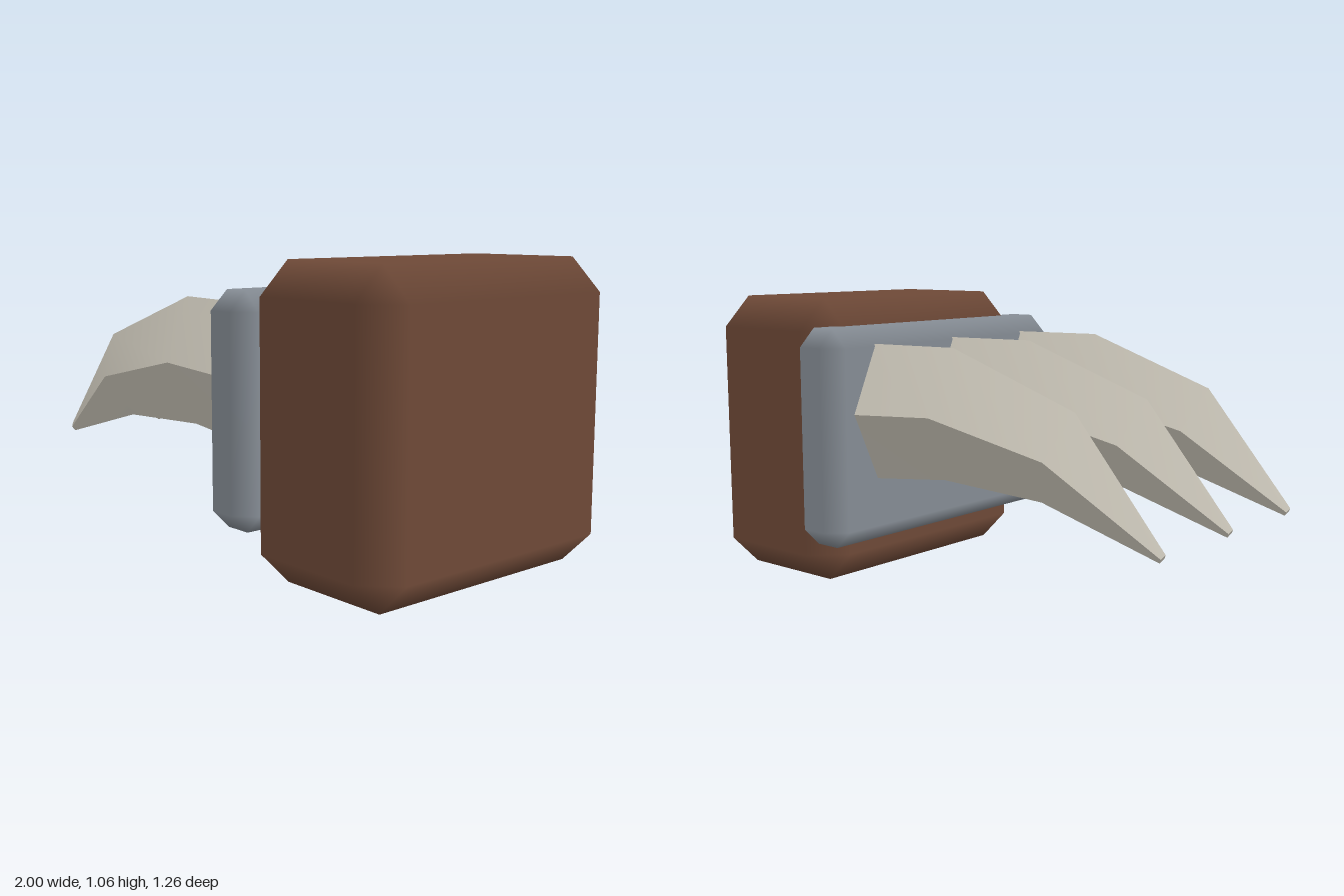
import * as THREE from 'three';

const material = (name, color) => Object.assign(new THREE.MeshStandardMaterial({ color }), { name });

function toGeometry(positions, indices, normals) {
  const g = new THREE.BufferGeometry();
  g.setAttribute('position', new THREE.Float32BufferAttribute(positions, 3));
  g.setIndex(indices);
  if (normals) g.setAttribute('normal', new THREE.Float32BufferAttribute(normals, 3));
  else g.computeVertexNormals();
  return g;
}

// Box with 45 degree chamfers, flat faces and softly shaded bevels
function chamferBox(width, height, depth, bevel) {
  const half = [width / 2, height / 2, depth / 2];
  const pos = [], nor = [], idx = [], ids = {};
  const signs = [-1, 1];
  const vertex = (axis, s) => {
    const key = axis + ':' + s.join();
    if (!(key in ids)) {
      ids[key] = pos.length / 3;
      pos.push(...s.map((v, i) => v * (half[i] - (i === axis ? 0 : bevel))));
      nor.push(...s.map((v, i) => (i === axis ? v : 0)));
    }
    return ids[key];
  };
  const at = (i) => new THREE.Vector3().fromArray(pos, i * 3);
  // Adds a convex polygon, wound so that it faces away from the centre
  const face = (...v) => {
    const [a, b, c] = v.slice(0, 3).map(at);
    const n = b.clone().sub(a).cross(c.clone().sub(a));
    if (n.dot(a) < 0) v.reverse();
    for (let i = 1; i < v.length - 1; i++) idx.push(v[0], v[i], v[i + 1]);
  };
  const corner = (axis, s, u, w) => {
    const r = [0, 0, 0];
    r[axis] = s; r[(axis + 1) % 3] = u; r[(axis + 2) % 3] = w;
    return r;
  };
  for (let a = 0; a < 3; a++) {
    const b = (a + 1) % 3;
    for (const s of signs) {
      // Main faces
      face(...[[-1, -1], [1, -1], [1, 1], [-1, 1]].map(([u, w]) => vertex(a, corner(a, s, u, w))));
      // Edge bevels between this axis and the next
      for (const u of signs) {
        const p = corner(a, s, u, -1), q = corner(a, s, u, 1);
        face(vertex(a, p), vertex(a, q), vertex(b, q), vertex(b, p));
      }
    }
  }
  // Corner triangles
  for (const x of signs) for (const y of signs) for (const z of signs)
    face(...[0, 1, 2].map((a) => vertex(a, [x, y, z])));
  return toGeometry(pos, idx, nor);
}

// Curved claw: diamond sections, smooth along its length and sharp on its ridges
function clawGeometry() {
  // [top x, top y, middle x, middle y, bottom x, bottom y, half width]
  const sections = [
    [0.30, 0.903, 0.30, 0.655, 0.30, 0.407, 0.112],
    [-0.15, 0.91, -0.13, 0.68, -0.11, 0.45, 0.107],
    [-0.66, 0.735, -0.595, 0.58, -0.53, 0.43, 0.083],
    [-1.0, 0.335, -0.99, 0.32, -0.98, 0.305, 0.01],
  ];
  const rings = sections.map(([tx, ty, mx, my, bx, by, w]) => [
    [tx, ty, 0], [mx, my, w], [bx, by, 0], [mx, my, -w],
  ]);
  const pos = [], idx = [];
  for (let k = 0; k < 4; k++) {
    const base = pos.length / 3;
    rings.forEach((r, i) => {
      pos.push(...r[k], ...r[(k + 1) % 4]);
      if (i === 0) return;
      const a = base + 2 * (i - 1);
      idx.push(a, a + 2, a + 1, a + 1, a + 2, a + 3);
    });
  }
  // Tip and root caps
  const cap = (ring) => {
    const c = pos.length / 3;
    pos.push(...ring.flat());
    idx.push(c, c + 1, c + 2, c, c + 2, c + 3);
  };
  cap([...rings[3]].reverse());
  cap(rings[0]);
  // Wind every triangle outward from the local centre line
  const v = (i) => new THREE.Vector3().fromArray(pos, i * 3);
  const centres = sections.map((s) => new THREE.Vector3(s[2], s[3], 0));
  for (let t = 0; t < 48 && t < idx.length - 12; t += 3) {
    if (t >= 72) break;
  }
  for (let t = 0; t < idx.length; t += 3) {
    const [a, b, c] = [v(idx[t]), v(idx[t + 1]), v(idx[t + 2])];
    const mid = a.clone().add(b).add(c).divideScalar(3);
    const n = b.clone().sub(a).cross(c.clone().sub(a));
    const isCap = t >= idx.length - 12;
    let inner;
    if (isCap) inner = centres[t >= idx.length - 6 ? 1 : 2];
    else {
      const seg = Math.floor((t % 18) / 6);
      inner = centres[seg].clone().add(centres[seg + 1]).multiplyScalar(0.5);
    }
    if (n.dot(mid.sub(inner)) < 0) [idx[t + 1], idx[t + 2]] = [idx[t + 2], idx[t + 1]];
  }
  return toGeometry(pos, idx);
}

export function createModel() {
  const group = new THREE.Group();
  group.name = 'clawWeapon';
  const brown = material('brown leather', 0x6e4937);
  const steel = material('grey steel', 0x868d95);
  const bone = material('pale bone', 0xd0cbbe);

  const add = (name, geometry, mat, x, y, z) => {
    const mesh = new THREE.Mesh(geometry, mat);
    mesh.name = name;
    mesh.position.set(x, y, z);
    group.add(mesh);
  };

  // Fist block and the metal plate that carries the claws
  add('fistBlock', chamferBox(0.66, 1.06, 1.13, 0.115), brown, 0.67, 0.53, 0);
  add('knucklePlate', chamferBox(0.23, 0.79, 1.26, 0.066), steel, 0.335, 0.567, 0);

  // Three claws
  const claw = clawGeometry();
  ['backClaw', 'middleClaw', 'frontClaw'].forEach((name, i) =>
    add(name, claw, bone, 0, 0, (i - 1) * 0.415 - 0.003));
  return group;
}
